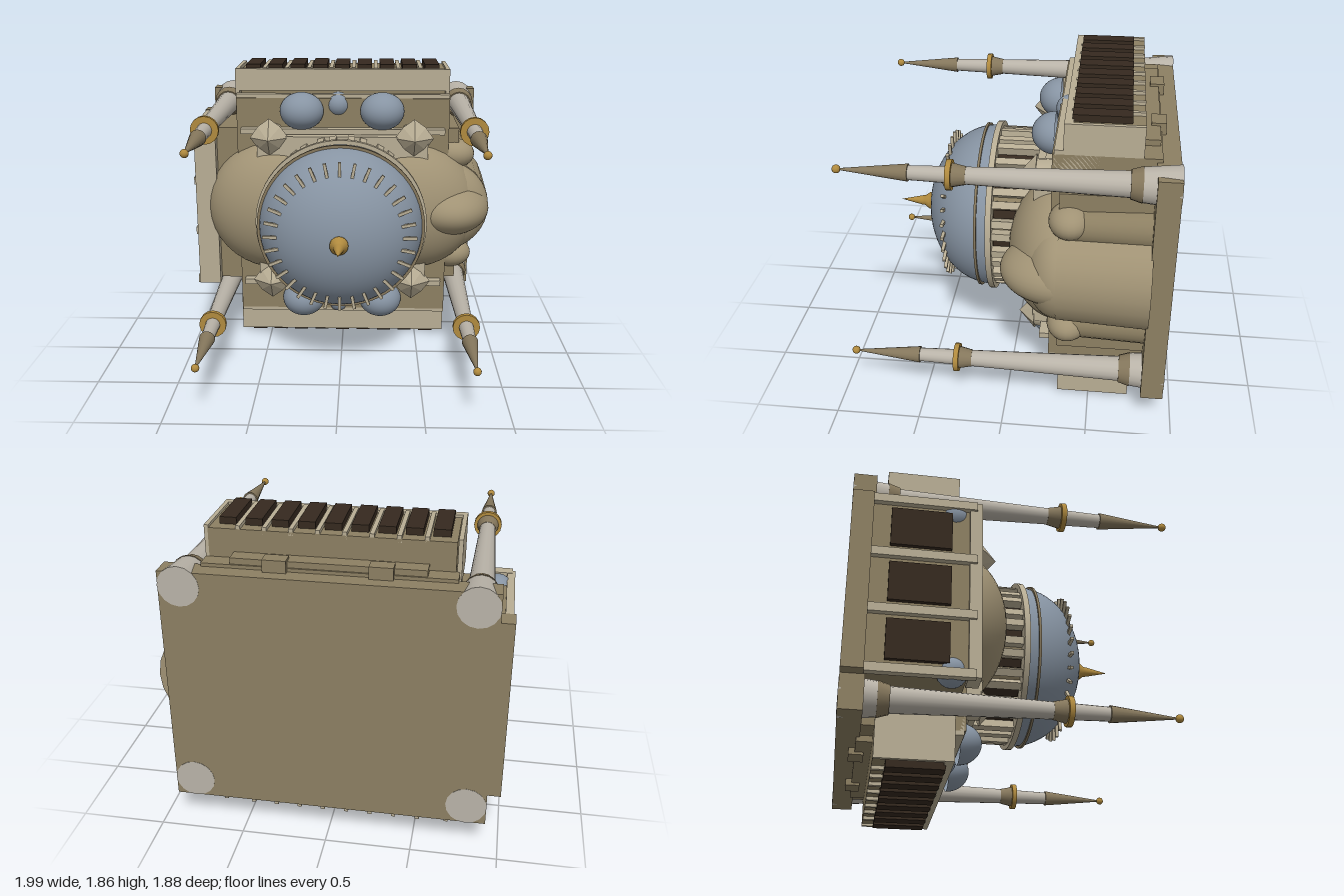
import * as THREE from 'three';

const mat = (color) => new THREE.MeshStandardMaterial({ color, side: THREE.DoubleSide });
const M = {
  stone: mat(0xb8ad94), wall: mat(0x8c7f62), vault: mat(0xa09274), dark: mat(0x35291f),
  lead: mat(0x8794a3), gold: mat(0xb08a3e), shaft: mat(0xb9b3a8), cap: mat(0x85775c),
};
const CY = 0.935; // the building rises along +z around this height

export function createModel() {
  const root = new THREE.Group();

  const add = (name, geo, m, x = 0, y = 0, z = 0, parent = root) => {
    const mesh = new THREE.Mesh(geo, m);
    mesh.name = name;
    mesh.position.set(x, y, z);
    parent.add(mesh);
    return mesh;
  };
  // box given by its limits
  const box = (name, m, x0, x1, y0, y1, z0, z1, parent = root) =>
    add(name, new THREE.BoxGeometry(x1 - x0, y1 - y0, z1 - z0), m,
      (x0 + x1) / 2, (y0 + y1) / 2, (z0 + z1) / 2, parent);
  // tapered drum running along z
  const drum = (name, m, x, y, z0, z1, r0, r1, sides = 24, parent = root) =>
    add(name, new THREE.CylinderGeometry(r1, r0, z1 - z0, sides).rotateX(Math.PI / 2), m,
      x, y, (z0 + z1) / 2, parent);
  // half ellipsoid bulging toward +z
  const halfDome = (name, m, x, y, z, rx, ry, rz) => {
    const g = new THREE.SphereGeometry(1, 36, 16, 0, Math.PI * 2, 0, Math.PI / 2).rotateX(Math.PI / 2);
    return add(name, g.scale(rx, ry, rz), m, x, y, z);
  };

  // Base and main block
  box('baseSlab', M.wall, -0.92, 0.905, 0.2, 1.64, -0.94, -0.81);
  box('porchBase', M.wall, -0.995, -0.9, 0.4, 1.48, -0.94, -0.82);
  box('mainBlock', M.wall, -0.69, 0.69, 0.21, 1.66, -0.84, -0.25);
  box('crossBlock', M.wall, -0.76, 0.76, 0.43, 1.46, -0.82, -0.3);
  box('drumBase', M.stone, -0.55, 0.55, 0.44, 1.43, -0.25, -0.14);

  // Two long side galleries with rows of windows
  for (const s of [1, -1]) {
    const g = new THREE.Group();
    g.name = s > 0 ? 'upperGallery' : 'lowerGallery';
    g.position.y = CY;
    root.add(g);
    const at = (name, m, x0, x1, a, b, z0, z1) =>
      box(name, m, x0, x1, Math.min(s * a, s * b), Math.max(s * a, s * b), z0, z1, g);
    at('galleryWall', M.wall, -0.67, 0.67, 0.65, 0.89, -0.74, -0.36);
    at('galleryRoof', M.stone, -0.7, 0.69, 0.765, 0.905, -0.36, -0.31);
    at('galleryLedge', M.stone, -0.69, 0.69, 0.62, 0.75, -0.31, -0.26);
    at('roofStep', M.stone, -0.66, 0.66, 0.5, 0.535, -0.25, -0.19);
    for (const x of [-0.7, 0.665]) at('galleryEnd', M.stone, x, x + 0.025, 0.62, 0.905, -0.74, -0.31);
    for (let i = 0; i < 9; i++) {
      const x = -0.585 + i * 0.145;
      at('galleryWindow', M.dark, x - 0.047, x + 0.047, 0.88, 0.93, -0.67, -0.35);
      if (i < 8) at('galleryPillar', M.stone, x + 0.06, x + 0.085, 0.87, 0.91, -0.74, -0.34);
    }
    at('backStep', M.wall, -0.53, 0.53, 0.7, 0.76, -0.83, -0.72);
    for (const x of [-0.29, 0.28]) at('backBlock', M.wall, x - 0.065, x + 0.065, 0.68, 0.775, -0.865, -0.78);

    for (const x of [-0.265, 0.255]) {
      // Small domes on the roof
      halfDome('smallDome', M.lead, x, CY + s * 0.645, -0.24, 0.142, 0.122, 0.14);
    }
    add('rearDome', new THREE.SphereGeometry(0.08, 20, 12), M.lead, -0.03, CY + s * 0.68, -0.3);
    // Corner spires beside the drum
    for (const x of [-0.47, 0.46]) {
      const geo = new THREE.ConeGeometry(0.125, 0.1, 8).toNonIndexed().rotateX(Math.PI / 2);
      const p = geo.attributes.position;
      for (let i = 0; i < p.count; i++) { // pinch every second corner into a star
        const px = p.getX(i), py = p.getY(i);
        if (Math.abs(px) > 0.02 && Math.abs(py) > 0.02) p.setXY(i, px * 0.82, py * 0.82);
      }
      geo.computeVertexNormals();
      add('cornerSpire', geo, M.stone, x, CY + s * 0.485, -0.1);
      drum('spireBase', M.stone, x, CY + s * 0.485, -0.25, -0.15, 0.09, 0.09, 8);
    }
    // Side niches of the apse
    const niche = add('sideNiche', new THREE.SphereGeometry(1, 24, 16), M.vault, 0.73, CY + s * 0.345, -0.36);
    niche.scale.set(0.14, 0.1, 0.12);
    drum('nicheWall', M.wall, 0.73, CY + s * 0.32, -0.82, -0.38, 0.12, 0.105, 20);
    // Small domes at the porch ends
    add('porchDome', new THREE.SphereGeometry(0.085, 20, 12), M.lead, -0.89, CY + s * 0.48, -0.36);
  }

  // Half domes on both ends and the apse
  halfDome('westHalfDome', M.vault, -0.44, CY, -0.3, 0.46, 0.44, 0.31);
  drum('westHalfDomeWall', M.vault, -0.44, CY, -0.82, -0.3, 0.44, 0.44, 36);
  halfDome('eastHalfDome', M.vault, 0.44, CY, -0.3, 0.46, 0.43, 0.31);
  drum('eastHalfDomeWall', M.vault, 0.44, CY, -0.82, -0.3, 0.45, 0.43, 36);
  halfDome('apseDome', M.vault, 0.695, CY, -0.3, 0.275, 0.18, 0.335);
  halfDome('apseRoof', M.vault, 0.65, CY, -0.3, 0.32, 0.31, 0.2);
  drum('apseWall', M.vault, 0.65, CY, -0.82, -0.3, 0.345, 0.32, 24);

  // Porch with three large windows
  box('porchWall', M.wall, -0.95, -0.68, 0.42, 1.46, -0.82, -0.28);
  box('porchRoof', M.stone, -0.97, -0.83, 0.4, 1.48, -0.28, -0.21);
  for (let i = 0; i < 4; i++) {
    const y = CY + (i - 1.5) * 0.345;
    box('porchPillar', M.stone, -0.985, -0.94, y - 0.025, y + 0.025, -0.82, -0.24);
    if (i < 3) box('porchWindow', M.dark, -0.975, -0.94, y + 0.055, y + 0.29, -0.72, -0.38);
  }

  // Drum: sixteen windows separated by paired pillars
  drum('drumWall', M.wall, 0, CY, -0.16, 0.13, 0.44, 0.44, 48);
  const ringOf = (name, n, offset, w, r0, r1, z0, z1, m) => {
    for (let i = 0; i < n; i++) {
      const spoke = new THREE.Group();
      spoke.name = name + 'Spoke';
      spoke.position.y = CY;
      spoke.rotation.z = (i + offset) / n * Math.PI * 2;
      root.add(spoke);
      box(name, m, r0, r1, -w / 2, w / 2, z0, z1, spoke);
    }
  };
  ringOf('drumWindow', 16, 0, 0.05, 0.4, 0.46, -0.1, 0.11, M.dark);
  ringOf('drumPillar', 16, 0.3, 0.045, 0.4, 0.505, -0.14, 0.12, M.stone);
  ringOf('drumPillar', 16, 0.7, 0.045, 0.4, 0.505, -0.14, 0.12, M.stone);
  drum('drumCornice', M.stone, 0, CY, 0.115, 0.15, 0.535, 0.535, 64);

  // Main dome, its ring, ribs and finial
  const profile = [];
  for (let i = 0; i <= 20; i++) {
    const a = i / 20 * Math.PI / 2;
    profile.push(new THREE.Vector2(0.51 * Math.cos(a), 0.15 + 0.415 * Math.sin(a)));
  }
  add('mainDome', new THREE.LatheGeometry(profile, 64).rotateX(Math.PI / 2), M.lead, 0, CY, 0);
  drum('domeRing', M.cap, 0, CY, 0.205, 0.22, 0.52, 0.52, 64);
  ringOf('domeRib', 32, 0, 0.018, 0.37, 0.462, 0.41, 0.43, M.stone);
  const finial = [[0, 0.55], [0.055, 0.555], [0.055, 0.58], [0.032, 0.61], [0.03, 0.63], [0, 0.765]];
  add('finial', new THREE.LatheGeometry(finial.map((p) => new THREE.Vector2(...p)), 20).rotateX(Math.PI / 2),
    M.gold, 0, CY, 0);

  // Four towers at the corners
  for (const x of [-0.805, 0.79]) for (const s of [1, -1]) {
    const t = new THREE.Group();
    t.name = 'tower';
    t.position.set(x, CY + s * 0.622, 0);
    root.add(t);
    const seg = (name, m, ...dims) => drum(name, m, 0, 0, ...dims, 16, t);
    seg('towerFoot', M.shaft, -0.942, -0.74, 0.117, 0.096);
    seg('towerCollar', M.cap, -0.74, -0.675, 0.1, 0.08);
    seg('towerShaft', M.shaft, -0.675, 0.21, 0.073, 0.048);
    seg('balconySupport', M.cap, 0.2, 0.275, 0.05, 0.066);
    seg('balcony', M.gold, 0.275, 0.305, 0.085, 0.085);
    seg('upperShaft', M.shaft, 0.305, 0.515, 0.046, 0.04);
    seg('towerSpire', M.cap, 0.515, 0.9, 0.049, 0.005);
    add('towerBall', new THREE.SphereGeometry(0.024, 14, 10), M.gold, 0, 0, 0.913, t);
  }
  return root;
}
